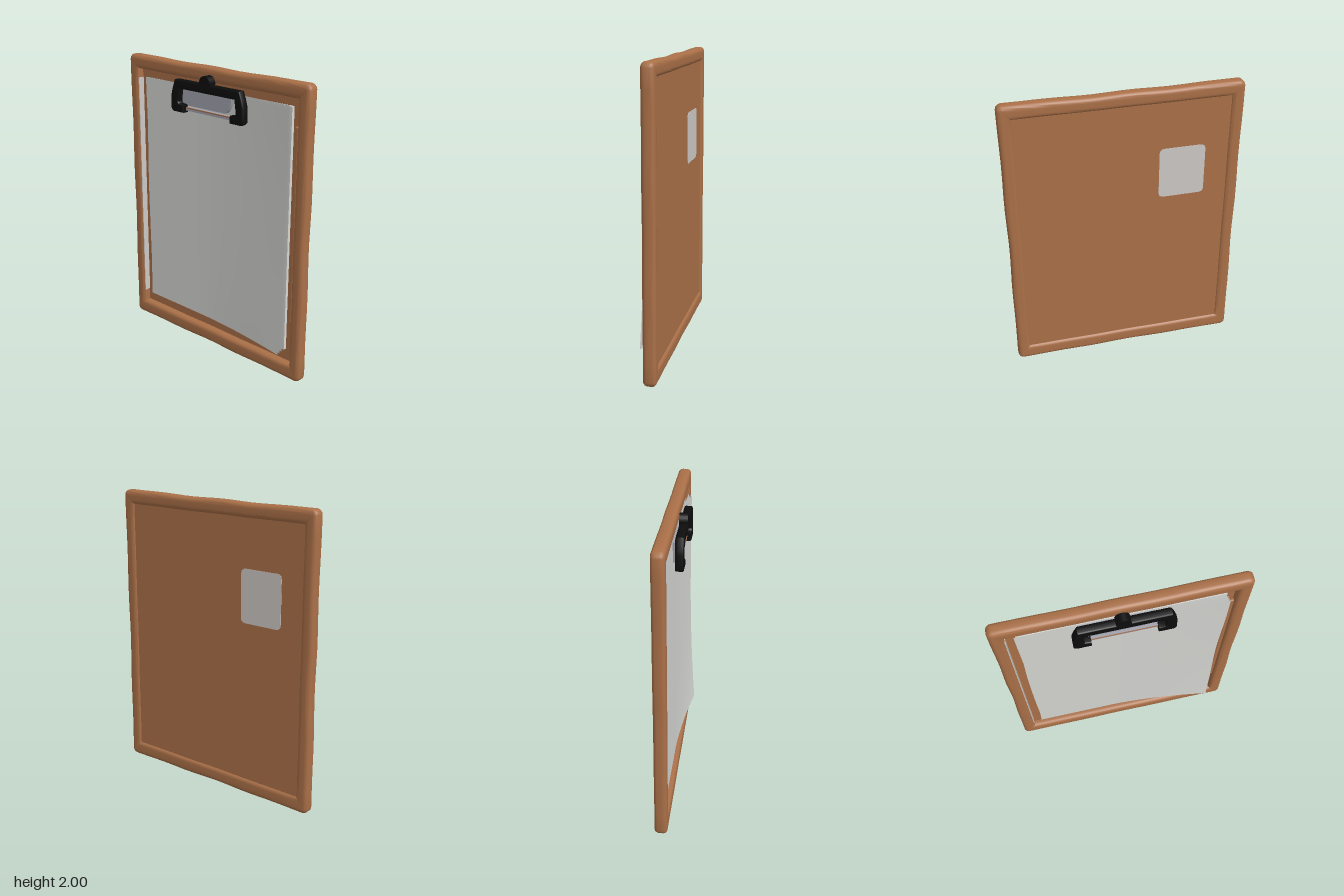
import * as THREE from 'three';
import { toCreasedNormals } from 'three/addons/utils/BufferGeometryUtils.js';
import { RoundedBoxGeometry } from 'three/addons/geometries/RoundedBoxGeometry.js';

const mat = (name, color, side = THREE.FrontSide) => {
  const m = new THREE.MeshStandardMaterial({ color, side });
  m.name = name;
  return m;
};

// Hand-worn rectangle outline: rounded corners and gently wavy edges
function wavyRect(x0, y0, x1, y1, r, amp) {
  const pts = [];
  const corners = [[x1 - r, y0 + r, -90], [x1 - r, y1 - r, 0], [x0 + r, y1 - r, 90], [x0 + r, y0 + r, 180]];
  corners.forEach(([cx, cy, start], c) => {
    for (let i = 0; i <= 3; i++) {
      const a = THREE.MathUtils.degToRad(start + i * 30);
      pts.push(new THREE.Vector2(cx + r * Math.cos(a), cy + r * Math.sin(a)));
    }
    // intermediate points along the edge to the next corner
    const a = pts[pts.length - 1].clone();
    const [nx, ny, ns] = corners[(c + 1) % 4];
    const na = THREE.MathUtils.degToRad(ns);
    const b = new THREE.Vector2(nx + r * Math.cos(na), ny + r * Math.sin(na));
    const inward = new THREE.Vector2(-(b.y - a.y), b.x - a.x).normalize();
    for (let i = 1; i < 16; i++) {
      const t = i / 16;
      const d = amp * Math.sin(Math.PI * t) * (0.9 + 0.7 * Math.sin(t * 17 + c * 2));
      pts.push(a.clone().lerp(b, t).addScaledVector(inward, d));
    }
  });
  return pts;
}

function bevelled(shape, depth, bevel, segments, crease = 0.7) {
  return toCreasedNormals(new THREE.ExtrudeGeometry(shape, {
    depth, bevelEnabled: true, bevelThickness: bevel, bevelSize: bevel, bevelSegments: segments, curveSegments: 12,
  }), crease);
}

export function createModel() {
  const root = new THREE.Group();
  root.name = 'clipboard';
  const wood = mat('wood', 0xaa7048);
  const paper = mat('paper', 0xd6d6d3, THREE.DoubleSide);
  const black = mat('blackMetal', 0x0d0d0d);
  const steel = mat('steel', 0xa2a2ae);
  const labelMat = mat('labelGrey', 0xcdc8c5);

  const add = (name, geo, material, x = 0, y = 0, z = 0, parent = root) => {
    const m = new THREE.Mesh(geo, material);
    m.name = name;
    m.position.set(x, y, z);
    parent.add(m);
    return m;
  };

  // Rounded frame with an open centre
  const B = 0.028;
  const frame = new THREE.Shape(wavyRect(-0.788 + B, 0.005 + B, 0.782 - B, 2 - B, 0.012, 0.005));
  frame.holes.push(new THREE.Path(wavyRect(-0.70 - B, 0.112 - B, 0.692 + B, 1.903 + B, 0.012, 0.002).reverse()));
  add('frame', bevelled(frame, 0.085 - 2 * B, B, 5), wood, 0, 0, -0.07 + B);

  // Recessed backing board
  add('backBoard', new THREE.BoxGeometry(1.46, 1.86, 0.02), wood, -0.004, 1.007, -0.045);
  // Low strip beside the paper's loose edge
  add('edgeStrip', new RoundedBoxGeometry(0.03, 1.32, 0.025, 2, 0.01), wood, 0.677, 1.07, -0.02);

  // Pale lining on the inner face of one frame side
  add('sideLining', new THREE.BoxGeometry(0.005, 1.64, 0.044), labelMat, -0.699, 1.02, -0.013);

  // Stack of sheets; the loose side curls forward, most at the lower corner
  const sheets = new THREE.Group();
  sheets.name = 'paperSheets';
  root.add(sheets);
  const W = 1.28, H = 1.65;
  add('paperStack', new THREE.BoxGeometry(W - 0.01, H, 0.022), paper, 0, 1.02, -0.024, sheets);
  for (let s = 0; s < 3; s++) {
    const geo = new THREE.PlaneGeometry(W, H, 24, 20);
    const p = geo.attributes.position;
    for (let i = 0; i < p.count; i++) {
      const v = p.getY(i) / H + 0.5;
      const t = Math.max(0, (p.getX(i) + 0.1) / 0.74);
      const lift = 0.03 + 0.041 * Math.pow(1 - v, 3) + 0.008 * v * v;
      p.setX(i, p.getX(i) + 0.004 * Math.sin(v * 9 + s));
      p.setZ(i, lift * Math.pow(t, 1.75) * (1 - 0.22 * s));
    }
    geo.computeVertexNormals();
    const sheet = add('sheet', geo, paper, 0.002, 1.017 + s * 0.006, -0.006 - 0.002 * s, sheets);
    sheet.rotation.z = s * 0.002;
  }

  // Clip: bracket with two inward feet
  const clip = new THREE.Group();
  clip.name = 'clip';
  root.add(clip);
  const half = [[0.275, 1.885], [0.292, 1.84], [0.306, 1.79], [0.306, 1.70], [0.295, 1.69], [0.215, 1.69],
    [0.215, 1.722], [0.25, 1.728], [0.265, 1.745], [0.258, 1.80], [0.25, 1.848]];
  const outline = half.map(([x, y]) => new THREE.Vector2(x, y));
  outline.push(...half.map(([x, y]) => new THREE.Vector2(-x, y)).reverse());
  add('clipBracket', bevelled(new THREE.Shape(outline), 0.035, 0.01, 3), black, 0, 0, 0.026, clip);

  // Hinge barrel along the top and the centre knob
  const barrel = add('clipHinge', new THREE.CylinderGeometry(0.024, 0.024, 0.54, 16), black, 0, 1.87, 0.04, clip);
  barrel.rotation.z = Math.PI / 2;
  const knob = add('clipKnob', new THREE.CylinderGeometry(0.046, 0.046, 0.055, 24), black, -0.01, 1.905, 0.043, clip);
  knob.rotation.x = Math.PI / 2;

  // Pressure plate and the gripping rod between the feet
  const plate = new THREE.Shape();
  plate.moveTo(-0.275, 1.86);
  plate.lineTo(-0.265, 1.725);
  plate.lineTo(0.13, 1.725);
  plate.quadraticCurveTo(0.17, 1.74, 0.19, 1.86);
  add('pressurePlate', new THREE.ExtrudeGeometry(plate, { depth: 0.026, bevelEnabled: false }), steel, 0, 0, 0, clip);
  add('gripRod', new THREE.BoxGeometry(0.44, 0.024, 0.02), steel, 0, 1.705, 0.03, clip);
  add('gripRodInlay', new THREE.BoxGeometry(0.44, 0.008, 0.006), wood, 0, 1.712, 0.04, clip);

  // Rounded label on the back
  const label = new THREE.Shape(wavyRect(-0.545, 1.22, -0.235, 1.58, 0.03, 0));
  add('backLabel', new THREE.ExtrudeGeometry(label, { depth: 0.004, bevelEnabled: false }), labelMat, 0, 0, -0.058);

  return root;
}
